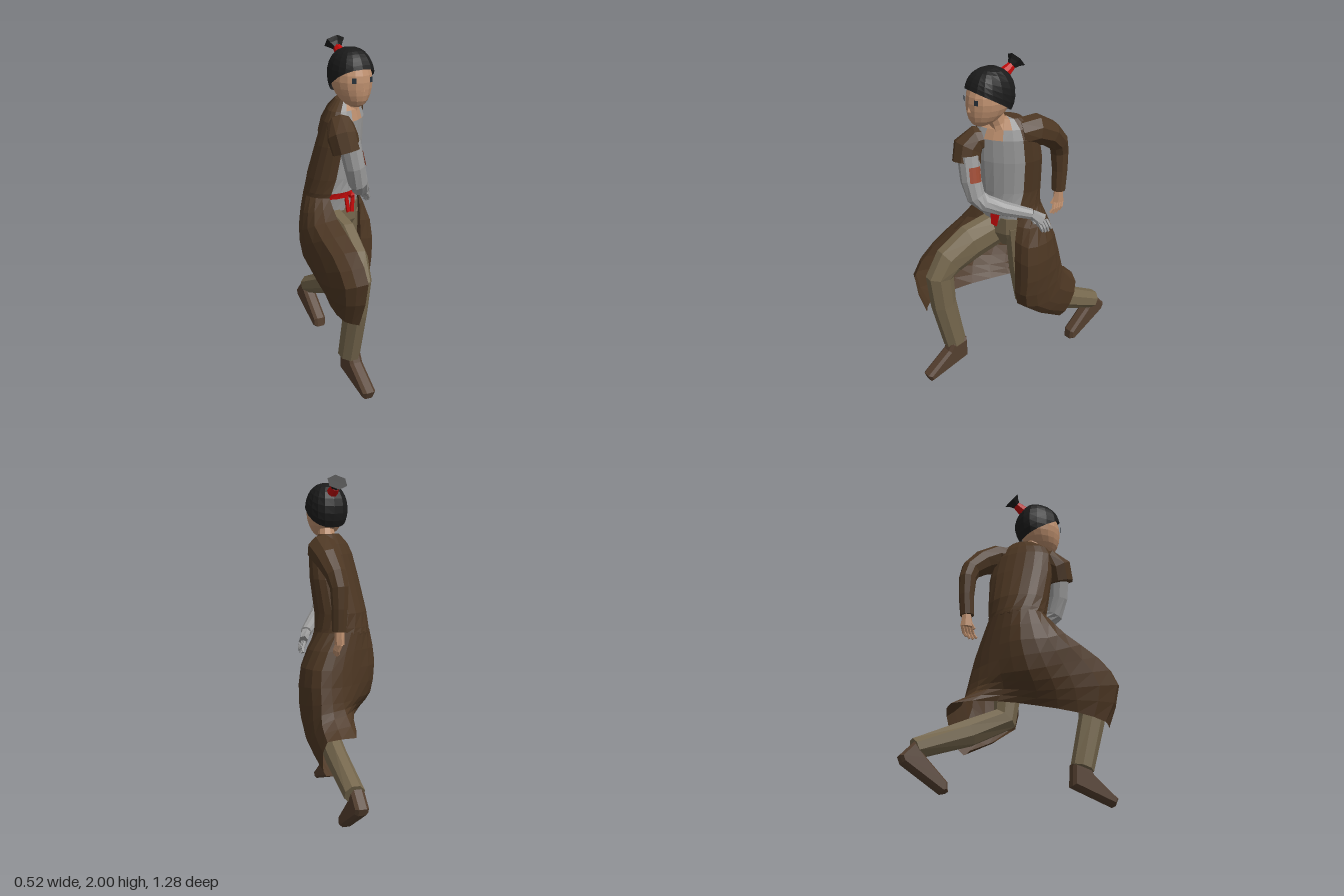
import * as THREE from 'three';

const V = (x, y, z) => new THREE.Vector3(x, y, z);
const paint = (name, color, side = THREE.FrontSide) => {
  const m = new THREE.MeshStandardMaterial({ color, side });
  m.name = name;
  return m;
};

export function createModel() {
  const model = new THREE.Group();
  const coat = paint('brown coat', 0x4d3723, THREE.DoubleSide);
  const boot = paint('boot leather', 0x543f2f);
  const khaki = paint('khaki trousers', 0x75674d);
  const cloth = paint('grey cloth', 0x9c9c9c);
  const skin = paint('skin', 0xbd8f6e);
  const hair = paint('black hair', 0x1b1b1b, THREE.DoubleSide);
  const red = paint('red ribbon', 0xc00a0a, THREE.DoubleSide);
  const stain = paint('rust patch', 0x9c4a33, THREE.DoubleSide);
  const eyeColor = paint('dark eye', 0x27313a, THREE.DoubleSide);

  const add = (name, geometry, material, parent = model) => {
    const mesh = new THREE.Mesh(geometry, material);
    mesh.name = name;
    parent.add(mesh);
    return mesh;
  };
  const flat = (g) => {
    const f = g.index ? g.toNonIndexed() : g;
    f.computeVertexNormals();
    return f;
  };

  // Faceted skin over a list of rings; pick(row, column) chooses a material slot
  function loft(rings, { closed = true, pick = () => 0, slots = 1 } = {}) {
    const tris = Array.from({ length: slots }, () => []);
    const n = rings[0].length;
    for (let i = 0; i + 1 < rings.length; i++) {
      for (let j = 0; j < (closed ? n : n - 1); j++) {
        const k = (j + 1) % n, A = rings[i], B = rings[i + 1];
        tris[pick(i, j)].push([A[j], A[k], B[k]], [A[j], B[k], B[j]]);
      }
    }
    if (closed) {
      [[0, true], [rings.length - 1, false]].forEach(([i, first]) => {
        const R = rings[i];
        const c = R.reduce((s, p) => s.add(p), V(0, 0, 0)).divideScalar(n);
        for (let j = 0; j < n; j++) {
          const a = R[j], b = R[(j + 1) % n];
          tris[pick(Math.min(i, rings.length - 2), j)].push(first ? [b, a, c] : [a, b, c]);
        }
      });
    }
    // turn the faces outward when the volume comes out negative
    const mid = rings[0][0];
    let volume = 0;
    tris.flat().forEach(([a, b, c]) => {
      volume += a.clone().sub(mid).dot(b.clone().sub(mid).cross(c.clone().sub(mid)));
    });
    const g = new THREE.BufferGeometry(), pos = [];
    tris.forEach((list, slot) => {
      const start = pos.length / 3;
      list.forEach(([a, b, c]) => (volume < 0 ? [a, c, b] : [a, b, c]).forEach((p) => pos.push(p.x, p.y, p.z)));
      if (slots > 1) g.addGroup(start, pos.length / 3 - start, slot);
    });
    g.setAttribute('position', new THREE.Float32BufferAttribute(pos, 3));
    g.computeVertexNormals();
    return g;
  }

  // Limb along stations [x, y, z, half width, half depth]
  function limb(name, stations, material, sides = 8, parent = model) {
    const pts = stations.map((s) => V(s[0], s[1], s[2]));
    const rings = pts.map((p, i) => {
      const t = pts[Math.min(i + 1, pts.length - 1)].clone().sub(pts[Math.max(i - 1, 0)]).normalize();
      const u = V(1, 0, 0).addScaledVector(t, -t.x).normalize();
      const w = t.clone().cross(u);
      const [, , , ra, rb = ra] = stations[i];
      return Array.from({ length: sides }, (_, j) => {
        const a = ((j + 0.5) / sides) * Math.PI * 2;
        return p.clone().addScaledVector(u, ra * Math.cos(a)).addScaledVector(w, rb * Math.sin(a));
      });
    });
    return add(name, loft(rings), material, parent);
  }

  // Torso: twisted ellipses, t = 0 at the middle of the chest
  const onRing = ([y, cx, cz, a, b, turn], t) => {
    const r = THREE.MathUtils.degToRad(turn), s = a * Math.sin(t), c = b * Math.cos(t);
    return V(cx + s * Math.cos(r) + c * Math.sin(r), y, cz - s * Math.sin(r) + c * Math.cos(r));
  };
  const body = [
    [1.0, -0.03, 0.015, 0.175, 0.135, 22], [1.08, -0.03, 0.015, 0.185, 0.15, 27],
    [1.115, -0.03, 0.02, 0.185, 0.148, 32], [1.2, -0.026, 0.027, 0.188, 0.143, 40],
    [1.4, 0.002, 0.058, 0.2, 0.127, 43], [1.54, 0.016, 0.081, 0.19, 0.11, 44],
    [1.6, 0.02, 0.085, 0.16, 0.088, 44], [1.655, 0.025, 0.085, 0.085, 0.055, 44],
  ];
  const N = 20;
  const torsoRings = body.map((s) => Array.from({ length: N }, (_, j) => onRing(s, (j / N) * Math.PI * 2)));
  add('torso', loft(torsoRings, {
    slots: 4,
    pick: (i, j) => {
      const k = j < N / 2 ? j : j - N; // column, counted from the chest middle
      if (k < (i > 4 ? -4 : -3) || k > 1) return 0;
      if (i === 1 && k < 1) return 2;
      if ((i === 6 && k > -4 && k < 1) || (i === 5 && k > -3 && k < 0)) return 3;
      return 1;
    },
  }), [coat, cloth, red, skin]);
  [[-0.002, 0.15], [0.032, -0.15]].forEach(([x, tilt]) => {
    const tail = add('sashTail', new THREE.BoxGeometry(0.026, 0.1, 0.009), red);
    tail.position.set(x, 1.04, 0.165);
    tail.rotation.set(-0.1, 0.35, tilt);
  });
  add('sashKnot', flat(new THREE.SphereGeometry(0.022, 6, 4)), red).position.set(0.025, 1.093, 0.165);

  // Coat skirt: open sheet from the right knee round the back to the left knee
  const skirtRows = [
    [[-.13, 1, .28], [-.245, .96, .22], [-.262, .9, .1], [-.21, .88, -.05], [-.09, .88, -.13],
      [.04, .88, -.18], [.165, .88, -.17], [.225, .88, -.06], [.21, .88, .07], [.125, .9, .1]],
    [[-.135, .885, .51], [-.245, .85, .43], [-.255, .76, .2], [-.21, .7, 0], [-.09, .7, -.12],
      [.04, .69, -.2], [.18, .69, -.21], [.23, .66, -.07], [.22, .65, .08], [.125, .66, .1]],
    [[-.135, .735, .64], [-.24, .7, .57], [-.24, .63, .28], [-.17, .6, .07], [-.07, .62, -.09],
      [.03, .62, -.22], [.19, .58, -.24], [.21, .45, -.1], [.19, .465, .06], [.115, .46, .075]],
    [[-.145, .46, .56], [-.205, .47, .5], [-.2, .5, .32], [-.125, .53, .09], [-.04, .55, -.12],
      [.03, .52, -.37], [.19, .5, -.33], [.2, .36, -.28], [.16, .27, -.23], [.095, .28, -.22]],
  ].map((row) => row.map((p) => V(...p)));
  const waist = Array.from({ length: 10 }, (_, j) =>
    onRing([1.09, -0.03, 0.0175, 0.187, 0.151, 29], THREE.MathUtils.degToRad(-54 - 30 * j)));
  skirtRows.unshift(waist);
  const spread = (pts, steps) => {
    const curve = new THREE.CatmullRomCurve3(pts);
    return Array.from({ length: steps + 1 }, (_, i) => curve.getPoint(i / steps));
  };
  const columns = waist.map((_, j) => spread(skirtRows.map((r) => r[j]), 8));
  add('coatSkirt', loft(columns[0].map((_, i) => spread(columns.map((c) => c[i]), 18)), { closed: false }), coat);

  // Hips and legs
  limb('hips', [[-0.01, 1.03, 0.03, 0.14, 0.12], [-0.01, 0.93, 0.03, 0.14, 0.12], [0, 0.84, 0.02, 0.08, 0.08]], khaki, 10);
  limb('rightLeg', [
    [-0.07, 0.93, 0.04, 0.075, 0.11], [-0.08, 0.87, 0.28, 0.074, 0.12], [-0.095, 0.79, 0.42, 0.07, 0.108],
    [-0.105, 0.7, 0.485, 0.066, 0.09], [-0.113, 0.5, 0.46, 0.066, 0.08], [-0.112, 0.2, 0.388, 0.063, 0.07],
  ], khaki);
  limb('leftLeg', [
    [0.07, 0.97, 0.03, 0.064, 0.09], [0.075, 0.7, 0.01, 0.064, 0.085], [0.085, 0.5, -0.01, 0.064, 0.08],
    [0.1, 0.385, -0.23, 0.064, 0.08], [0.11, 0.25, -0.545, 0.062, 0.06],
  ], khaki);

  // Boots: side outlines in (z, y), given thickness across x
  const addBoot = (name, x, outline) => {
    const g = new THREE.ExtrudeGeometry(new THREE.Shape(outline.map((p) => new THREE.Vector2(...p))), {
      depth: 0.045, bevelThickness: 0.018, bevelSize: 0.014, bevelOffset: -0.014, bevelSegments: 1,
    });
    g.translate(0, 0, -0.0225).rotateY(-Math.PI / 2).translate(x, 0, 0);
    add(name, flat(g), boot);
  };
  addBoot('rightBoot', -0.098, [[0.325, 0.22], [0.32, 0.09], [0.595, 0.005], [0.615, 0.05], [0.46, 0.17], [0.435, 0.22]]);
  addBoot('leftBoot', 0.098, [[-0.56, 0.28], [-0.642, 0.19], [-0.625, 0.15], [-0.39, 0.01], [-0.355, 0.02], [-0.36, 0.075], [-0.49, 0.2]]);

  // Right arm: short sleeve, wrapped arm bent across the body
  limb('rightSleeve', [
    [-0.04, 1.52, 0.16, 0.06], [-0.075, 1.52, 0.215, 0.077], [-0.092, 1.475, 0.268, 0.088], [-0.078, 1.39, 0.292, 0.083],
  ], coat, 9);
  limb('rightArm', [
    [-0.06, 1.44, 0.29, 0.064], [-0.03, 1.3, 0.298, 0.06], [0.0, 1.2, 0.285, 0.056], [0.035, 1.16, 0.245, 0.052],
    [0.1, 1.125, 0.16, 0.044], [0.19, 1.085, 0.03, 0.032],
  ], cloth, 10);
  const patch = add('armPatch', flat(new THREE.CylinderGeometry(0.065, 0.065, 0.09, 4, 1, true, 0.9, 1.2)), stain);
  patch.position.set(-0.037, 1.335, 0.296);
  patch.quaternion.setFromUnitVectors(V(0, 1, 0), V(-0.03, 0.14, -0.01).normalize());

  // Left arm: long sleeve swung behind
  limb('leftSleeve', [
    [0.085, 1.56, 0.03, 0.085], [0.115, 1.57, -0.05, 0.09], [0.115, 1.52, -0.15, 0.078], [0.102, 1.44, -0.235, 0.062],
    [0.09, 1.37, -0.26, 0.054], [0.09, 1.25, -0.265, 0.047], [0.09, 1.12, -0.258, 0.042],
  ], coat, 9);

  // Hands: palm, four fingers and a thumb along a direction
  function hand(name, from, to, tip, material) {
    const group = new THREE.Group();
    group.name = name;
    model.add(group);
    limb('palm', [[...from, 0.028], [...to, 0.027, 0.042]], material, 6, group);
    for (let i = 0; i < 4; i++) {
      const s = (i - 1.5) * 0.02;
      limb('finger', [[to[0], to[1], to[2] + s, 0.011],
        [(to[0] + tip[0]) / 2 + 0.008, (to[1] + tip[1]) / 2, (to[2] + tip[2]) / 2 + s, 0.011],
        [tip[0], tip[1] + Math.abs(s) * 0.5, tip[2] + s * 1.1, 0.008]], material, 5, group);
    }
    limb('thumb', [[from[0], from[1] - 0.02, from[2], 0.012],
      [to[0] - 0.01, to[1] - 0.01, to[2] + 0.045, 0.009]], material, 5, group);
  }
  hand('rightHand', [0.19, 1.085, 0.03], [0.225, 1.04, -0.02], [0.243, 0.965, -0.042], cloth);
  hand('leftHand', [0.09, 1.13, -0.26], [0.09, 1.045, -0.258], [0.095, 0.97, -0.225], skin);

  // Neck and head
  limb('neck', [[0.025, 1.56, 0.12, 0.075, 0.06], [0.018, 1.63, 0.14, 0.05], [0.01, 1.72, 0.175, 0.05]], skin, 9);
  const face = new THREE.SphereGeometry(1, 16, 12);
  const p = face.attributes.position;
  for (let i = 0; i < p.count; i++) {
    const y = p.getY(i), low = Math.max(0, -y);
    p.setXYZ(i, 0.005 + p.getX(i) * 0.113 * (1 - 0.1 * low), 1.775 + y * 0.146, 0.195 + p.getZ(i) * 0.132 + 0.05 * low * low);
  }
  add('face', flat(face), skin);
  const nose = add('nose', flat(new THREE.ConeGeometry(0.014, 0.045, 4)), skin);
  nose.position.set(0.005, 1.75, 0.322);
  [-1, 1].forEach((s) => {
    const eye = add('eye', new THREE.PlaneGeometry(0.024, 0.03), eyeColor);
    eye.position.set(0.005 + s * 0.054, 1.79, 0.317);
    eye.rotation.y = s * 0.45;
  });

  // Hair cap: boxy dome with a hairline that drops towards the nape
  const cap = new THREE.SphereGeometry(1, 16, 8, 0, Math.PI * 2, 0, Math.PI / 2);
  const h = cap.attributes.position;
  const soft = (v, e) => Math.sign(v) * Math.abs(v) ** e;
  for (let i = 0; i < h.count; i++) {
    const az = Math.atan2(h.getX(i), h.getZ(i));
    const th = (Math.acos(Math.min(1, h.getY(i))) / (Math.PI / 2)) * (1.79 - 0.54 * soft(Math.cos(az), 0.8));
    const r = Math.sin(th) ** 0.85;
    h.setXYZ(i, 0.005 + 0.12 * r * soft(Math.sin(az), 0.75), 1.8 + 0.155 * Math.cos(th), 0.183 + 0.143 * r * soft(Math.cos(az), 0.85));
  }
  add('hairCap', flat(cap), hair);
  limb('hairTie', [[0.005, 1.895, 0.085, 0.036], [0.005, 1.93, 0.03, 0.025]], red, 8);
  limb('topknot', [[0.005, 1.925, 0.037, 0.022], [0.005, 1.945, 0.012, 0.045, 0.034], [0.005, 1.957, -0.004, 0.064, 0.054]], hair, 6);
  return model;
}
